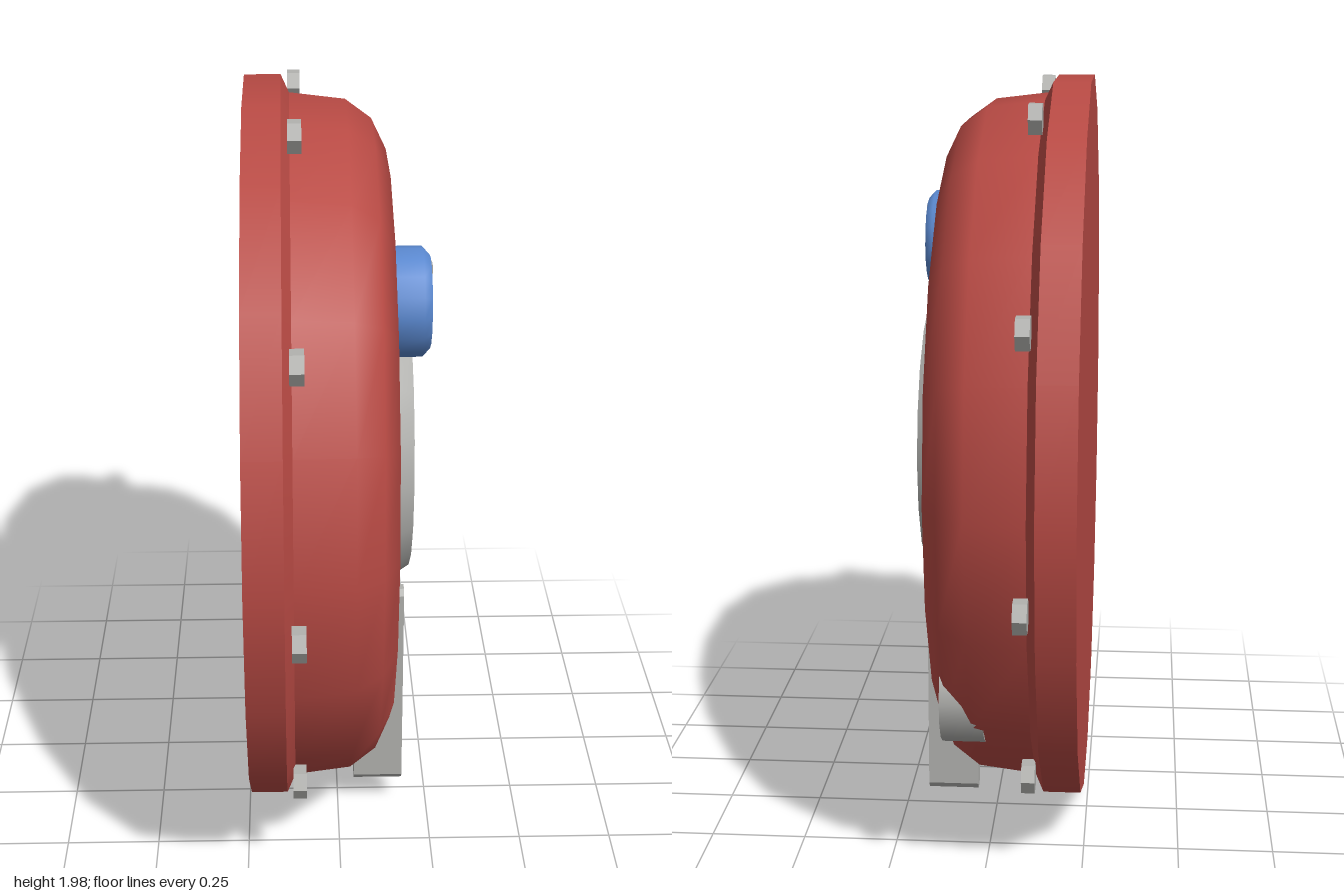
import * as THREE from 'three';
import { mergeGeometries } from 'three/addons/utils/BufferGeometryUtils.js';

const CY = 1.01, CZ = -0.005; // axis of the disc, which points along +x

// Turned part about the x axis. Each run of [radius, x] points is smooth; runs meet in sharp edges.
function turned(runs, sides) {
  const parts = runs.map((run) =>
    new THREE.LatheGeometry(run.map(([r, x]) => new THREE.Vector2(r, x)), sides));
  return mergeGeometries(parts).rotateZ(-Math.PI / 2);
}

// Support bracket: side profile extruded across z, with the ends chamfered
function bracketGeometry(width) {
  const shape = new THREE.Shape([
    [0.045, 0.08], [0.18, 0.08], [0.18, 0.685], [0.12, 0.685],
    [0.14, 0.6], [0.14, 0.3], [0.105, 0.215], [0.045, 0.18],
  ].map(([x, y]) => new THREE.Vector2(x, y)));
  const geo = new THREE.ExtrudeGeometry(shape, { depth: width, steps: 4, bevelEnabled: false });
  const p = geo.attributes.position;
  for (let i = 0; i < p.count; i++) {
    const z = p.getZ(i);
    if (z < 0.001 || z > width - 0.001) p.setY(i, THREE.MathUtils.clamp(p.getY(i), 0.097, 0.668));
  }
  geo.translate(0, 0, -width / 2);
  geo.computeVertexNormals();
  return geo;
}

export function createModel() {
  const model = new THREE.Group();
  const paint = (name, color) => {
    const m = new THREE.MeshStandardMaterial({ color });
    m.name = name;
    return m;
  };
  const red = paint('red', 0xb84a44);
  const grey = paint('grey', 0xb2b2af);
  const blue = paint('blue', 0x5a88cf);

  const add = (name, geo, mat, x, y, z) => {
    const mesh = new THREE.Mesh(geo, mat);
    mesh.name = name;
    mesh.position.set(x, y, z);
    model.add(mesh);
    return mesh;
  };

  // Flange with flat back and chamfered front edge
  add('flange', turned([
    [[0, -0.24], [0.99, -0.24]],
    [[0.99, -0.24], [0.99, -0.142]],
    [[0.99, -0.142], [0.942, -0.12]],
  ], 18), red, 0, CY, CZ);

  // Rounded cover
  add('dome', turned([
    [[0.942, -0.12], [0.924, 0.03], [0.873, 0.1], [0.79, 0.14], [0, 0.141]],
  ], 18), red, 0, CY, CZ);

  // Central hub
  add('hub', turned([
    [[0.406, 0.13], [0.406, 0.145], [0.37, 0.2]],
    [[0.37, 0.2], [0, 0.2]],
  ], 18), grey, 0, CY, CZ);

  // Knob with a raised grip bar
  add('knob', turned([
    [[0.142, 0.13], [0.142, 0.215], [0.12, 0.235]],
    [[0.12, 0.235], [0, 0.235]],
  ], 16), blue, 0, 1.507, 0.293);
  add('knobGrip', new THREE.BoxGeometry(0.02, 0.2, 0.036), grey, 0.23, 1.51, 0.293);

  // Mostly sunken boss that breaks through the rounded edge
  add('sunkenBoss', turned([
    [[0, 0], [0.141, 0]],
    [[0.141, 0], [0.141, 0.11]],
    [[0.141, 0.11], [0, 0.11]],
  ], 16), grey, 0, 0.48, -0.59);

  // Three brackets below the hub
  const bracket = bracketGeometry(0.056);
  for (const dz of [-0.305, 0, 0.305]) add('bracket', bracket, grey, 0, 0, CZ + dz);

  // Nine hexagonal bolts around the rim
  const bolt = new THREE.CylinderGeometry(0.044, 0.044, 0.035, 6).rotateZ(-Math.PI / 2).toNonIndexed();
  bolt.computeVertexNormals();
  for (let i = 0; i < 9; i++) {
    const a = THREE.MathUtils.degToRad(72.7 + 40 * i);
    add('bolt', bolt, grey, -0.108, CY + 0.972 * Math.sin(a), CZ + 0.972 * Math.cos(a));
  }
  return model;
}
